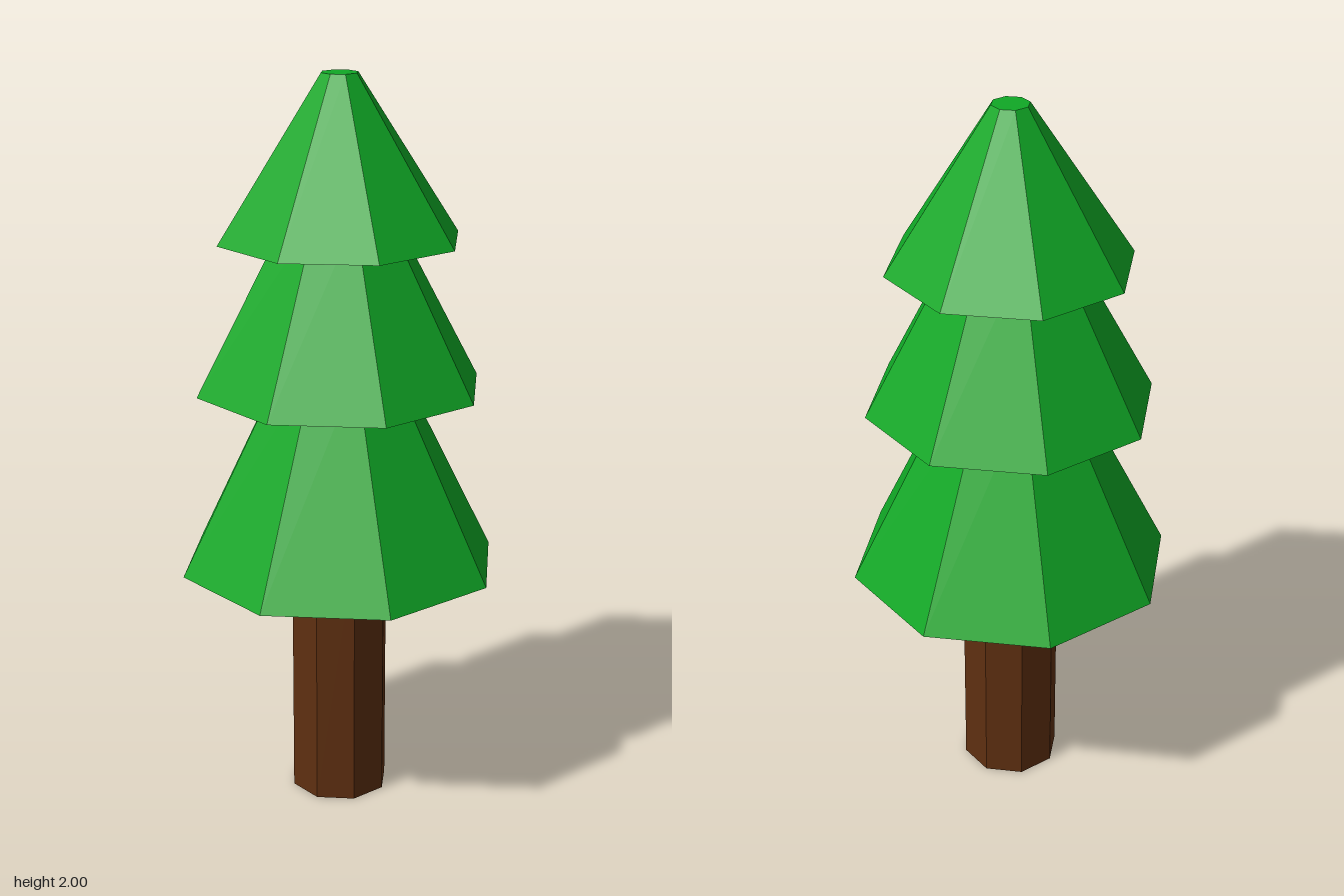
import * as THREE from 'three';

export function createModel() {
  const group = new THREE.Group();
  const green = new THREE.MeshStandardMaterial({ color: 0x10a826, flatShading: true });
  green.name = 'leaf green';
  const brown = new THREE.MeshStandardMaterial({ color: 0x5e2f10, flatShading: true });
  brown.name = 'bark brown';

  // Eight-sided frustum standing between two heights
  function frustum(name, y0, y1, r0, r1, material) {
    const mesh = new THREE.Mesh(new THREE.CylinderGeometry(r1, r0, y1 - y0, 8), material);
    mesh.name = name;
    mesh.position.y = (y0 + y1) / 2;
    group.add(mesh);
  }

  frustum('trunk', 0, 0.75, 0.135, 0.135, brown);

  // Foliage tiers; each top is tucked inside the tier above
  frustum('lowerFoliage', 0.67, 1.25, 0.44, 0.15, green);
  frustum('middleFoliage', 1.17, 1.65, 0.392, 0.135, green);
  frustum('upperFoliage', 1.57, 2, 0.33, 0.05, green);

  return group;
}
